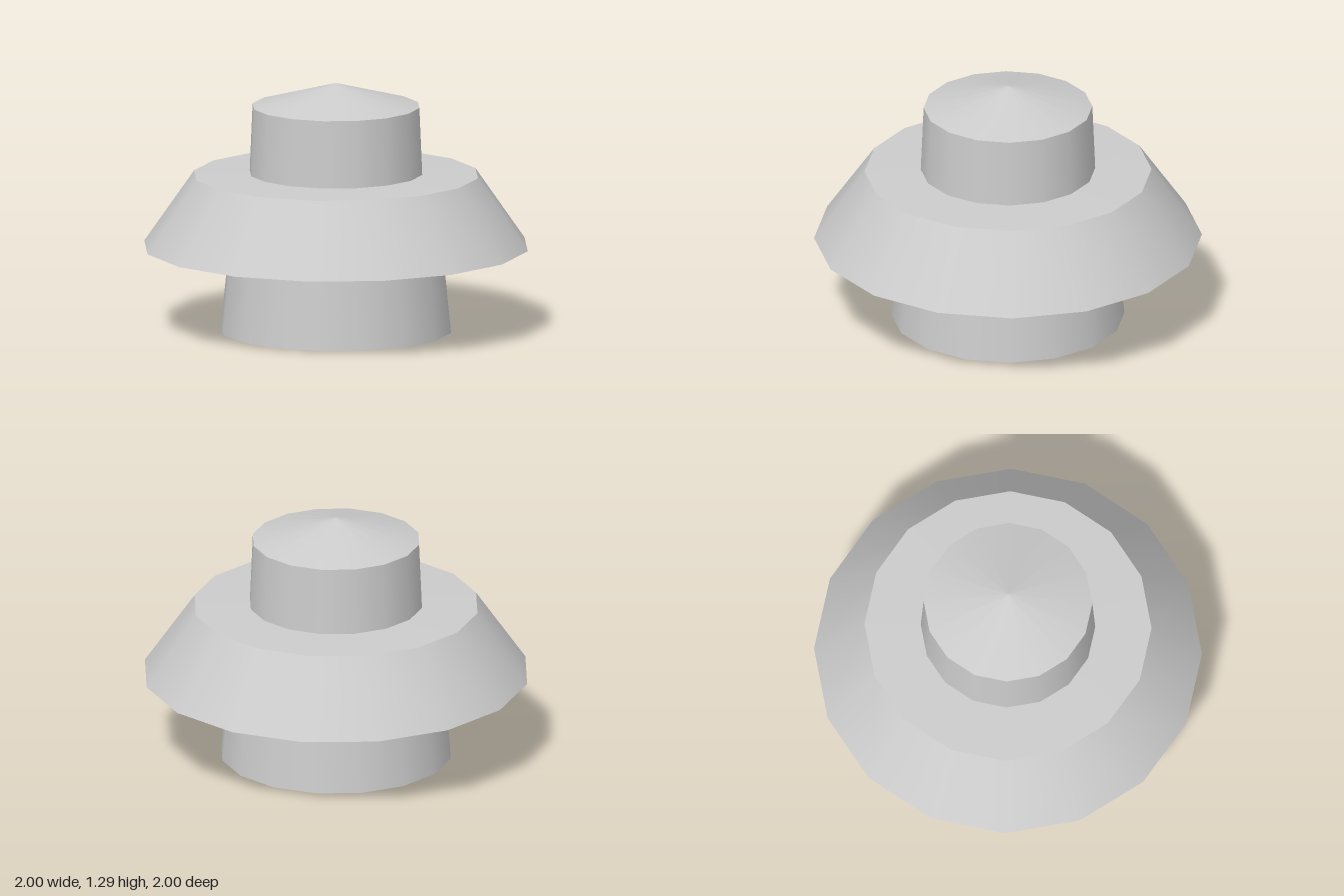
import * as THREE from 'three';
import { mergeGeometries } from 'three/addons/utils/BufferGeometryUtils.js';

const SIDES = 16;
const material = new THREE.MeshStandardMaterial({ color: 0xcccccc });

// Revolves a bottom-to-top profile; each band is separate, so it is smooth
// around the axis and sharp at the rims.
function turned(name, profile) {
  const points = profile.map(([r, y]) => new THREE.Vector2(r, y));
  const bands = points.slice(1).map((p, i) => new THREE.LatheGeometry([points[i], p], SIDES));
  const mesh = new THREE.Mesh(mergeGeometries(bands), material);
  mesh.name = name;
  return mesh;
}

export function createModel() {
  const model = new THREE.Group();
  model.name = 'ventCap';
  model.add(
    // tapered foot with a closed bottom
    turned('base', [[0, 0], [0.6, 0], [0.56, 0.4]]),
    // wide sloping skirt, slightly conical underneath and on top
    turned('skirt', [[0.56, 0.4], [1, 0.44], [0.74, 0.815], [0.45, 0.825]]),
    // upper drum with a shallow pointed roof
    turned('topDrum', [[0.45, 0.825], [0.435, 1.175]]),
    turned('roof', [[0.435, 1.175], [0, 1.295]]),
  );
  return model;
}
